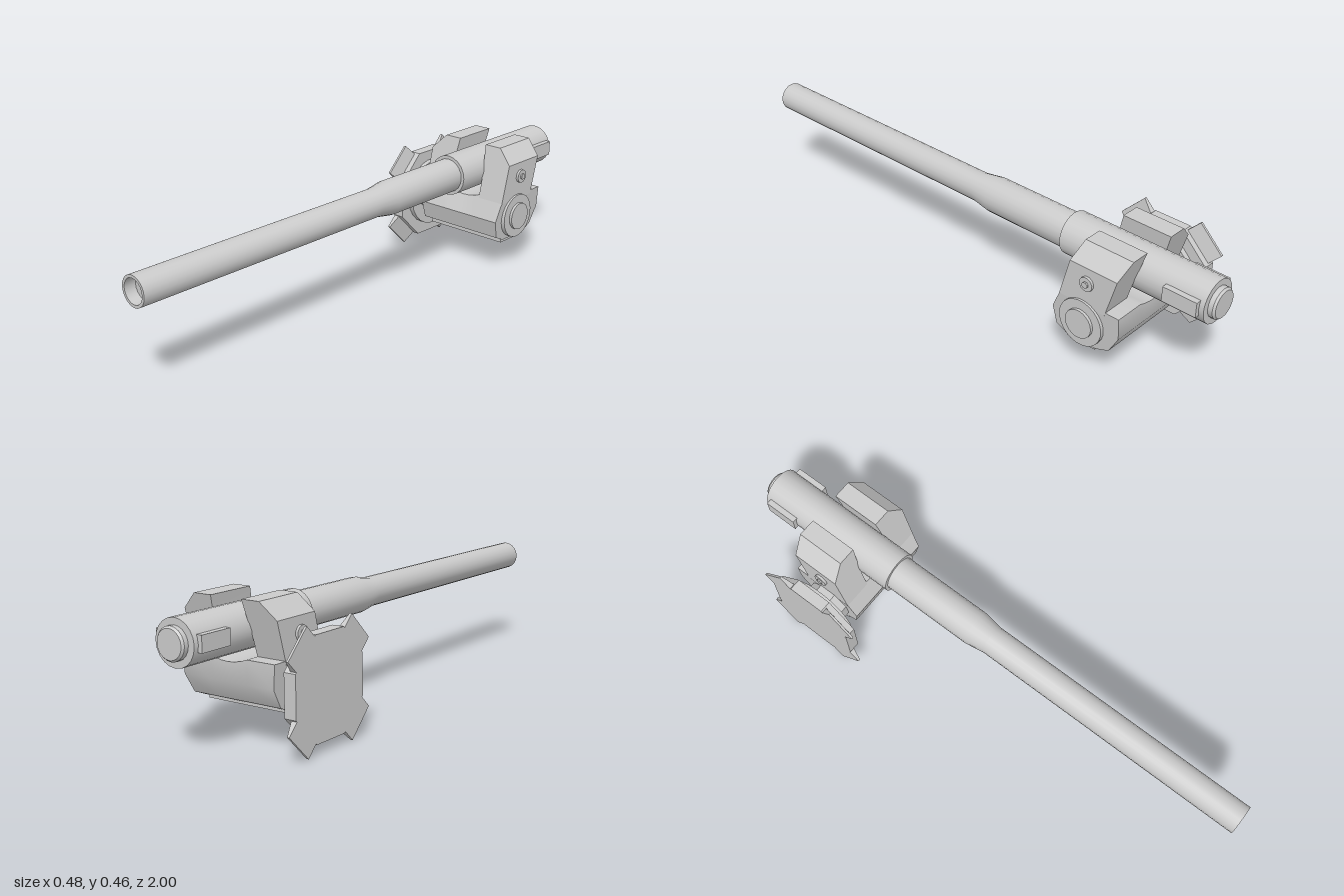
import * as THREE from 'three';
import { toCreasedNormals } from 'three/addons/utils/BufferGeometryUtils.js';

const BX = 0.04, BY = 0.362;        // barrel axis
const TY = 0.2, TZ = -0.617;        // trunnion axis

export function createModel() {
  const group = new THREE.Group();
  const material = new THREE.MeshStandardMaterial({ color: 0xcccccc });

  function add(name, geometry, x = 0, y = 0, z = 0) {
    const mesh = new THREE.Mesh(toCreasedNormals(geometry, 0.55), material);
    mesh.name = name;
    mesh.position.set(x, y, z);
    group.add(mesh);
    return mesh;
  }

  // Skin between matching convex rings, closed at both ends
  function loft(rings) {
    const n = rings[0].length, index = [];
    for (let i = 0; i < rings.length - 1; i++) {
      for (let j = 0; j < n; j++) {
        const k = (j + 1) % n, a = i * n + j, b = i * n + k;
        index.push(a, b, b + n, a, b + n, a + n);
      }
    }
    const last = (rings.length - 1) * n;
    for (let j = 1; j < n - 1; j++) index.push(0, j + 1, j, last, last + j, last + j + 1);
    const g = new THREE.BufferGeometry();
    g.setAttribute('position', new THREE.Float32BufferAttribute(rings.flat(2), 3));
    g.setIndex(index);
    return g;
  }

  // Level rectangle, used as a ring
  const rect = (y, x0, x1, z0, z1) => [[x0, y, z1], [x1, y, z1], [x1, y, z0], [x0, y, z0]];

  // Disc lying across x, from x0 to x1
  function disc(name, x0, x1, radius, y, z, sides = 24) {
    const g = new THREE.CylinderGeometry(radius, radius, x1 - x0, sides);
    g.rotateY(Math.PI / sides).rotateZ(Math.PI / 2);
    return add(name, g, (x0 + x1) / 2, y, z);
  }

  // Barrel with breech, step, taper and shallow bore
  const profile = [
    [0, -1], [0.047, -1], [0.053, -0.993], [0.053, -0.977], [0.075, -0.977],
    [0.075, -0.43], [0.063, -0.43], [0.063, -0.09], [0.052, -0.02],
    [0.052, 1], [0.042, 1], [0.042, 0.96], [0, 0.96],
  ].map(([r, z]) => new THREE.Vector2(r, z));
  add('barrel', new THREE.LatheGeometry(profile, 20).rotateX(Math.PI / 2), BX, BY, 0);

  // Breech side plates
  for (const s of [-1, 1]) {
    add('breechPlate', new THREE.BoxGeometry(0.03, 0.053, 0.122), BX + s * 0.073, 0.366, -0.899);
  }

  // Cradle body, tapering downward with a hollowed saddle
  const section = [
    [0.115, -0.555], [0.115, -0.67], [0.135, -0.72], [0.2, -0.757],
    [0.28, -0.757], [0.28, -0.53], [0.2, -0.497], [0.135, -0.512],
  ];
  const stations = [-0.182, -0.075, -0.05, -0.025, 0, 0.025, 0.05, 0.075, 0.182];
  add('cradleBody', loft(stations.map((d) => section.map(([y, z]) => {
    const t = Math.min(1, Math.abs(d) / 0.075);
    const x = Math.abs(d) > 0.1 ? d * (1 - 0.06 * (0.28 - y) / 0.165) : d;
    return [BX + x, y === 0.28 ? 0.263 + 0.015 * t * t : y, z];
  }))));
  add('cradleKeel', new THREE.BoxGeometry(0.335, 0.02, 0.11), 0.037, 0.113, -0.607);

  // Cradle arms, leaning back with chamfered outer corners
  for (const s of [-1, 1]) {
    const rings = [[0.265, 0.075, 0.182], [0.335, 0.073, 0.182], [0.405, 0.066, 0.182], [0.46, 0.06, 0.127]]
      .map(([y, inner, outer]) => {
        const xs = [BX + s * inner, BX + s * outer].sort((a, b) => a - b);
        return rect(y, xs[0], xs[1], -0.708 - (y - 0.285) * 0.28, -0.53 - (y - 0.285) * 0.26);
      });
    add('cradleArm', loft(rings));
    // Bolt with a raised centre
    const bx = BX + s * 0.182;
    disc('boltWasher', bx - 0.009, bx + 0.009, 0.025, 0.352, -0.632, 12);
    disc('boltHead', bx - 0.015, bx + 0.015, 0.011, 0.352, -0.632, 8);
  }

  // Trunnion cap on the left
  disc('trunnionDisc', 0.19, 0.23, 0.083, TY, TZ);
  disc('trunnionCap', 0.22, 0.24, 0.051, TY, TZ);

  // Octagonal shaft and mounting flange on the right
  const octagon = (apothem) => apothem / Math.cos(Math.PI / 8);
  disc('trunnionShaft', -0.185, -0.1, octagon(0.076), TY, TZ, 8);
  disc('flangeCollar', -0.2, -0.178, 0.13, TY, TZ);
  disc('flangePlate', -0.24, -0.197, octagon(0.167), TY, TZ, 8);

  // Four tapered lugs around the flange
  for (let i = 0; i < 4; i++) {
    const lug = loft([rect(0.15, -0.24, -0.214, -0.063, 0.063), rect(0.22, -0.24, -0.232, -0.063, 0.063)]);
    lug.rotateX(Math.PI / 4 + i * Math.PI / 2);
    add('flangeLug', lug, 0, TY, TZ);
  }

  return group;
}
